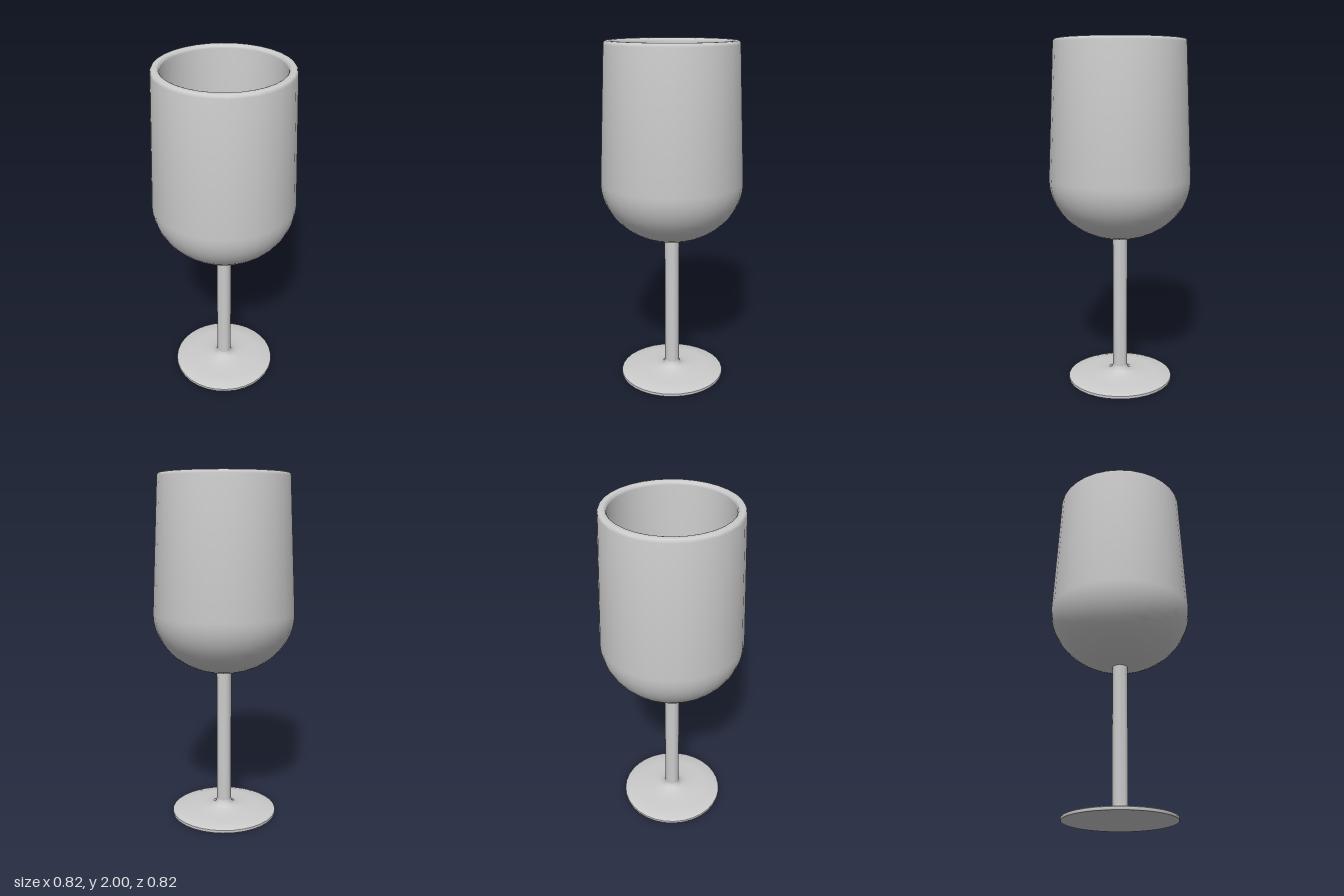
import * as THREE from 'three';
import { toCreasedNormals } from 'three/addons/utils/BufferGeometryUtils.js';

const material = new THREE.MeshStandardMaterial({ color: 0xcccccc });

// Revolve a profile of [radius, height] pairs, run from the underside outwards and up
function turned(name, profile) {
  const points = profile.map(([r, y]) => new THREE.Vector2(r, y));
  const geometry = toCreasedNormals(new THREE.LatheGeometry(points, 32), 0.85);
  const mesh = new THREE.Mesh(geometry, material);
  mesh.name = name;
  return mesh;
}

// Quarter ellipse from the axis at the bottom out to the widest point
function bowlCurve(radius, bottom, widest, steps = 14) {
  return Array.from({ length: steps + 1 }, (_, i) => {
    const a = (i / steps) * Math.PI / 2;
    return [radius * Math.sin(a), widest - (widest - bottom) * Math.cos(a)];
  });
}

export function createModel() {
  const glass = new THREE.Group();
  glass.name = 'wineGlass';

  // Flat foot flaring up into the stem
  glass.add(turned('foot', [
    [0, 0], [0.31, 0], [0.312, 0.006], [0.31, 0.016], [0.3, 0.021],
    [0.22, 0.028], [0.14, 0.034], [0.09, 0.041], [0.062, 0.05], [0.048, 0.062], [0.043, 0.08],
  ]));

  // Stem, running into the underside of the bowl
  glass.add(turned('stem', [[0.043, 0.08], [0.043, 0.885]]));

  // Bowl: outer wall, rounded rim, then the inner wall back down to the axis
  glass.add(turned('bowl', [
    ...bowlCurve(0.408, 0.87, 1.22),
    [0.373, 1.98], [0.371, 1.99], [0.366, 1.997], [0.358, 2],
    [0.341, 2], [0.333, 1.997], [0.328, 1.99], [0.326, 1.98],
    ...bowlCurve(0.362, 0.916, 1.22).reverse(),
  ]));

  return glass;
}
